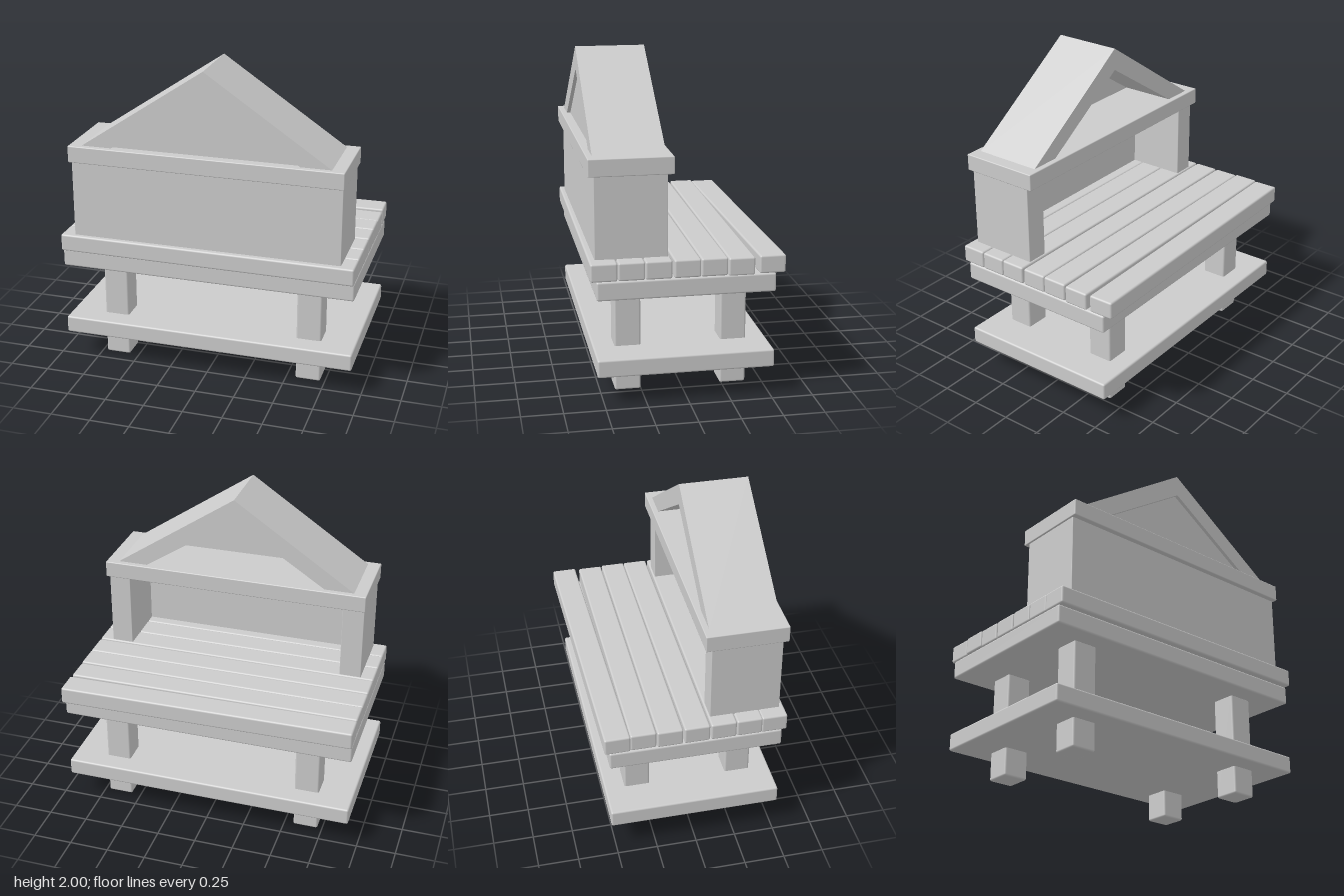
import * as THREE from 'three';
import { RoundedBoxGeometry } from 'three/addons/geometries/RoundedBoxGeometry.js';

const material = new THREE.MeshStandardMaterial({ color: 0xcccccc });

// Softly rounded box given by its [min, max] range on each axis
function block(name, [x0, x1], [y0, y1], [z0, z1], radius = 0.012) {
  const geometry = new RoundedBoxGeometry(x1 - x0, y1 - y0, z1 - z0, 2, radius);
  const mesh = new THREE.Mesh(geometry, material);
  mesh.name = name;
  mesh.position.set((x0 + x1) / 2, (y0 + y1) / 2, (z0 + z1) / 2);
  return mesh;
}

// Flat outline pushed along z from z0 to z1
function prism(name, points, z0, z1) {
  const shape = new THREE.Shape(points.map(([x, y]) => new THREE.Vector2(x, y)));
  const geometry = new THREE.ExtrudeGeometry(shape, { depth: z1 - z0, bevelEnabled: false });
  const mesh = new THREE.Mesh(geometry, material);
  mesh.name = name;
  mesh.position.z = z0;
  return mesh;
}

export function createModel() {
  const model = new THREE.Group();
  model.name = 'woodenStall';

  // Legs
  for (const x of [-0.64, 0.64]) {
    for (const z of [-0.32, 0.33]) {
      model.add(block('leg', [x - 0.08, x + 0.08], [0, 0.66], [z - 0.08, z + 0.08]));
    }
  }

  // Lower shelf and the board under the planks
  model.add(block('lowerShelf', [-0.94, 0.94], [0.175, 0.285], [-0.525, 0.54]));
  model.add(block('tableBase', [-0.94, 0.94], [0.65, 0.765], [-0.525, 0.54]));

  // Table planks, a few laid slightly askew: [centre z, yaw, tilt]
  const planks = [
    [0.493, -0.004, 0], [0.335, 0, 0], [0.175, 0, 0], [0.008, 0.003, 0],
    [-0.155, 0, 0], [-0.318, 0, -0.006], [-0.489, 0.015, 0],
  ];
  for (const [z, yaw, tilt] of planks) {
    const plank = block('plank', [-0.94, 0.94], [0.765, 0.875], [z - 0.079, z + 0.079]);
    plank.rotation.set(0, yaw, tilt);
    model.add(plank);
  }

  // Cabin: front wall and two side walls, open at the back
  model.add(block('frontWall', [-0.853, 0.853], [0.865, 1.38], [0.48, 0.54], 0.004));
  for (const side of [-1, 1]) {
    const x = side * 0.783;
    model.add(block('sideWall', [x - 0.07, x + 0.07], [0.865, 1.38], [0.107, 0.54], 0.004));
  }
  model.add(block('eavesSlab', [-0.863, 0.863], [1.367, 1.473], [0.07, 0.573], 0.006));

  // Gabled roof with a recessed panel closing its front
  model.add(prism('roof', [
    [-0.79, 1.467], [-0.6, 1.467], [0, 1.86], [0.6, 1.467], [0.79, 1.467], [0, 2],
  ], 0.105, 0.538));
  model.add(prism('gablePanel', [[-0.63, 1.467], [0.63, 1.467], [0, 1.88]], 0.46, 0.515));

  return model;
}
